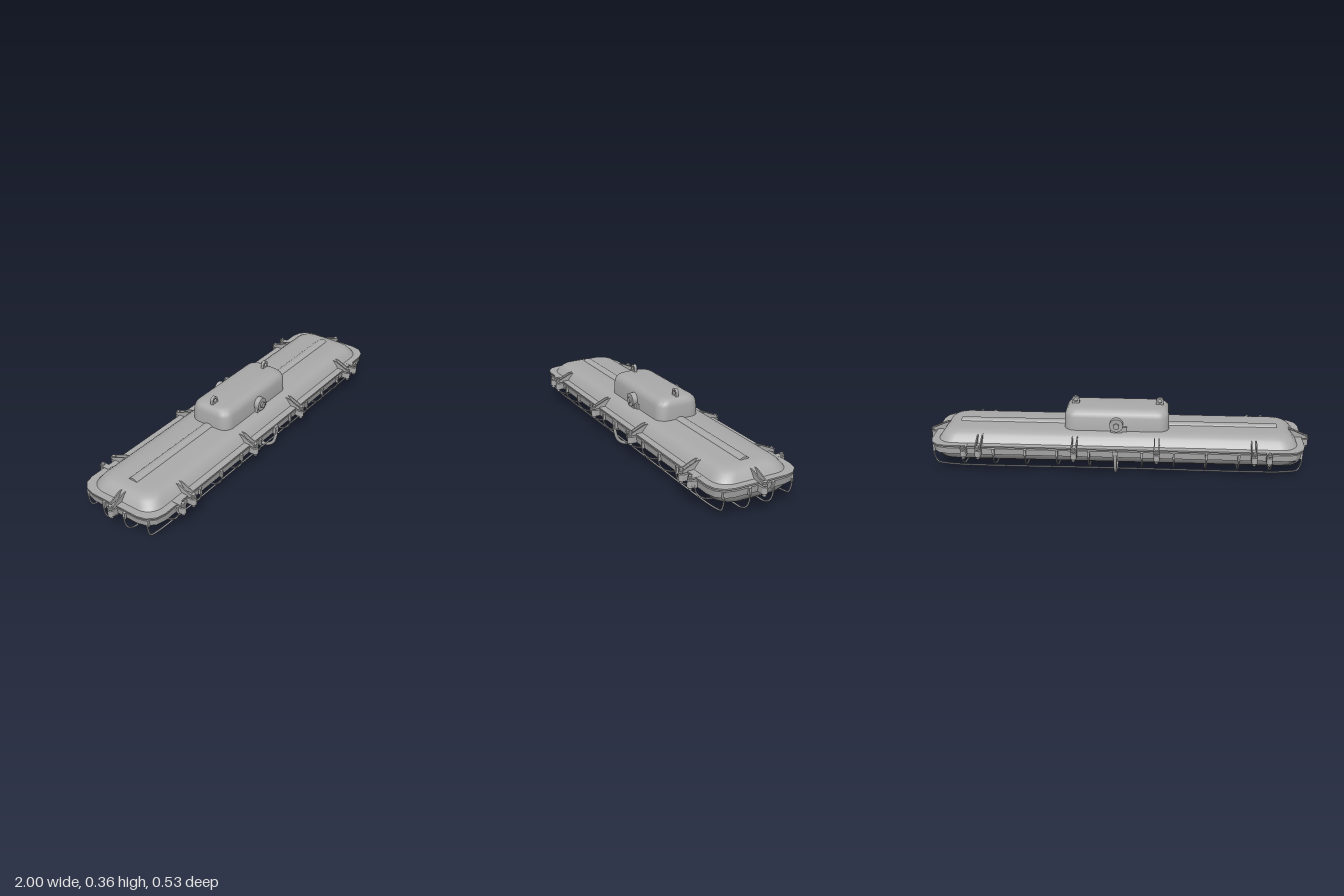
import * as THREE from 'three';
import { toCreasedNormals } from 'three/addons/utils/BufferGeometryUtils.js';

const metal = new THREE.MeshStandardMaterial({ color: 0xaaaaaa });
metal.name = 'grey metal';

function add(parent, name, geometry, x = 0, y = 0, z = 0) {
  const mesh = new THREE.Mesh(geometry, metal);
  mesh.name = name;
  mesh.position.set(x, y, z);
  parent.add(mesh);
  return mesh;
}

// Closed loft through rounded rectangles, bottom to top: [y, halfX, halfZ, cornerRadius]
function loft(sections, steps = 6, crease = 0.6) {
  const pos = [], index = [], n = 4 * (steps + 1);
  for (const [y, hx, hz, r] of sections) {
    for (let q = 0; q < 4; q++) {
      const cx = (q === 0 || q === 3 ? 1 : -1) * (hx - r);
      const cz = (q < 2 ? 1 : -1) * (hz - r);
      for (let i = 0; i <= steps; i++) {
        const a = (q + i / steps) * Math.PI / 2;
        pos.push(cx + r * Math.cos(a), y, cz + r * Math.sin(a));
      }
    }
  }
  const last = sections.length - 1;
  pos.push(0, sections[0][0], 0, 0, sections[last][0], 0);
  const bottom = n * (last + 1), top = bottom + 1;
  for (let j = 0; j < n; j++) {
    const k = (j + 1) % n;
    for (let s = 0; s < last; s++) {
      const a = s * n + j, b = s * n + k;
      index.push(a, a + n, b, b, a + n, b + n);
    }
    index.push(bottom, j, k, top, last * n + k, last * n + j);
  }
  const g = new THREE.BufferGeometry();
  g.setAttribute('position', new THREE.Float32BufferAttribute(pos, 3));
  g.setIndex(index);
  return toCreasedNormals(g, crease);
}

function tube(points, radius, segments = 48) {
  const curve = new THREE.CatmullRomCurve3(points.map(p => new THREE.Vector3(...p)), false, 'centripetal');
  return new THREE.TubeGeometry(curve, segments, radius, 8);
}

// Profile drawn in (z, y), given a thickness along x
function plateZY(points, thickness) {
  const shape = new THREE.Shape(points.map(p => new THREE.Vector2(...p)));
  const g = new THREE.ExtrudeGeometry(shape, { depth: thickness, bevelEnabled: false });
  g.translate(0, 0, -thickness / 2);
  return g.rotateY(-Math.PI / 2);
}

const cyl = (r, h, sides = 16) => new THREE.CylinderGeometry(r, r, h, sides);

// Bolted clamp, outward along +z
function clamp(withFins) {
  const g = new THREE.Group();
  g.name = 'clamp';
  add(g, 'lowerEar', new THREE.BoxGeometry(0.03, 0.033, 0.035), 0, 0.132, 0.233);
  add(g, 'lowerEarEnd', cyl(0.015, 0.033), 0, 0.132, 0.25);
  add(g, 'upperEar', new THREE.BoxGeometry(0.03, 0.008, 0.05), 0, 0.16, 0.227);
  add(g, 'upperEarEnd', cyl(0.015, 0.008), 0, 0.16, 0.25);
  add(g, 'bolt', cyl(0.006, 0.068), 0, 0.135, 0.25);
  add(g, 'nut', cyl(0.01, 0.008, 6), 0, 0.107, 0.25);
  add(g, 'boltHead', cyl(0.01, 0.008, 6), 0, 0.168, 0.25);
  if (withFins) {
    const fin = plateZY([[0.15, 0.162], [0.16, 0.204], [0.18, 0.2], [0.25, 0.169], [0.25, 0.162]], 0.006);
    for (const s of [-1, 1]) add(g, 'fin', fin, s * 0.012, 0, 0);
  }
  return g;
}

export function createModel() {
  const model = new THREE.Group();
  model.name = 'caged lamp';

  // Shell: lens, flange band, gasket and upper housing
  add(model, 'lens', loft([
    [0.04, 0.84, 0.04, 0.035], [0.045, 0.875, 0.1, 0.07], [0.056, 0.9, 0.145, 0.08],
    [0.075, 0.925, 0.18, 0.09], [0.1, 0.942, 0.205, 0.095], [0.125, 0.948, 0.213, 0.095]], 8, 0.8));
  add(model, 'flangeBand', loft([
    [0.115, 0.955, 0.222, 0.09], [0.148, 0.96, 0.225, 0.09]], 3, 0.3));
  add(model, 'gasket', loft([
    [0.147, 0.945, 0.21, 0.085], [0.157, 0.945, 0.21, 0.085]], 3, 0.3));
  add(model, 'upperFlange', loft([
    [0.156, 0.962, 0.228, 0.09], [0.163, 0.962, 0.228, 0.09]], 3, 0.3));
  add(model, 'housing', loft([
    [0.162, 0.927, 0.193, 0.085], [0.175, 0.918, 0.184, 0.08], [0.195, 0.903, 0.168, 0.075],
    [0.207, 0.886, 0.152, 0.07], [0.214, 0.865, 0.132, 0.065], [0.217, 0.835, 0.11, 0.06]], 8, 0.6));

  // Ridge along the top
  const ridge = cyl(0.025, 1.66, 20).rotateZ(Math.PI / 2).scale(1, 0.5, 1);
  add(model, 'topRidge', ridge, 0, 0.215, 0);

  // Terminal box with hanging eyes
  add(model, 'terminalBox', loft([
    [0.2, 0.272, 0.118, 0.055], [0.285, 0.27, 0.115, 0.055], [0.303, 0.265, 0.108, 0.053],
    [0.316, 0.255, 0.096, 0.05], [0.323, 0.24, 0.08, 0.045], [0.325, 0.225, 0.065, 0.04]], 8, 0.7));
  const eyeShape = new THREE.Shape();
  eyeShape.moveTo(-0.02, 0);
  eyeShape.lineTo(0.02, 0);
  eyeShape.lineTo(0.02, 0.022);
  eyeShape.absarc(0, 0.022, 0.02, 0, Math.PI, false);
  eyeShape.holes.push(new THREE.Path().absarc(0, 0.022, 0.01, 0, Math.PI * 2, true));
  const eye = new THREE.ExtrudeGeometry(eyeShape, { depth: 0.016, bevelEnabled: false, curveSegments: 12 });
  for (const s of [-1, 1]) add(model, 'hangingEye', eye, s * 0.22, 0.32, -0.008);

  // Both long sides: cable gland and clamps
  for (const turn of [0, Math.PI]) {
    const side = new THREE.Group();
    side.name = 'longSide';
    side.rotation.y = turn;
    model.add(side);
    add(side, 'glandBody', cyl(0.035, 0.045, 20).rotateX(Math.PI / 2), 0, 0.255, 0.12);
    add(side, 'glandFoot', new THREE.BoxGeometry(0.06, 0.035, 0.03), 0, 0.232, 0.12);
    add(side, 'glandNut', cyl(0.017, 0.02, 6).rotateX(Math.PI / 2), 0, 0.253, 0.141);
    add(side, 'groundScrewPad', new THREE.BoxGeometry(0.025, 0.025, 0.02), 0.042, 0.23, 0.12);
    for (const x of [-0.775, -0.7, -0.21, 0.21, 0.7, 0.775]) {
      const c = clamp(Math.abs(x) < 0.75);
      c.position.x = x;
      side.add(c);
    }
  }

  // Clamp at each end
  for (const s of [-1, 1]) {
    const c = clamp(true);
    c.rotation.y = s * Math.PI / 2;
    c.position.x = s * 0.735;
    model.add(c);
  }

  // Cage: cross wires with clips on the band
  const cage = new THREE.Group();
  cage.name = 'cage';
  model.add(cage);
  const cross = [[0.234, 0.12], [0.226, 0.09], [0.205, 0.062], [0.17, 0.044], [0.09, 0.033]];
  const mirrorZ = pts => [
    ...pts.map(([z, y]) => [0, y, z]), [0, pts.at(-1)[1] - 0.002, 0],
    ...pts.map(([z, y]) => [0, y, -z]).reverse()];
  const crossWire = tube(mirrorZ(cross), 0.004);
  const clip = new THREE.BoxGeometry(0.012, 0.035, 0.012);
  for (const a of [0.135, 0.298, 0.461, 0.624, 0.787]) {
    for (const x of [-a, a]) {
      add(cage, 'crossWire', crossWire, x, 0, 0);
      for (const s of [-1, 1]) add(cage, 'wireClip', clip, x, 0.131, s * 0.229);
    }
  }

  // Long wires curling up at both ends
  for (const [z, low, end] of [[0.063, 0.023, 0.968], [0.183, 0.038, 0.945]]) {
    const half = [[end, 0.13], [end - 0.003, 0.09], [end - 0.02, 0.052], [end - 0.055, low + 0.006], [end - 0.12, low]];
    const points = [
      ...half.map(([x, y]) => [-x, y, 0]), [0, low, 0],
      ...half.map(([x, y]) => [x, y, 0]).reverse()];
    const wire = tube(points, 0.004, 120);
    for (const s of [-1, 1]) {
      add(cage, 'longWire', wire, 0, 0, s * z);
      for (const e of [-1, 1]) add(cage, 'endClip', clip, e * (end - 0.004), 0.131, s * z);
    }
  }

  // Heavier strap around the middle
  const strap = [[0.235, 0.135], [0.23, 0.09], [0.217, 0.052], [0.19, 0.026], [0.15, 0.015], [0.08, 0.012]];
  add(cage, 'middleStrap', tube(mirrorZ(strap), 0.009, 64));
  for (const s of [-1, 1]) add(cage, 'strapBracket', new THREE.BoxGeometry(0.03, 0.04, 0.016), 0, 0.133, s * 0.23);

  return model;
}
